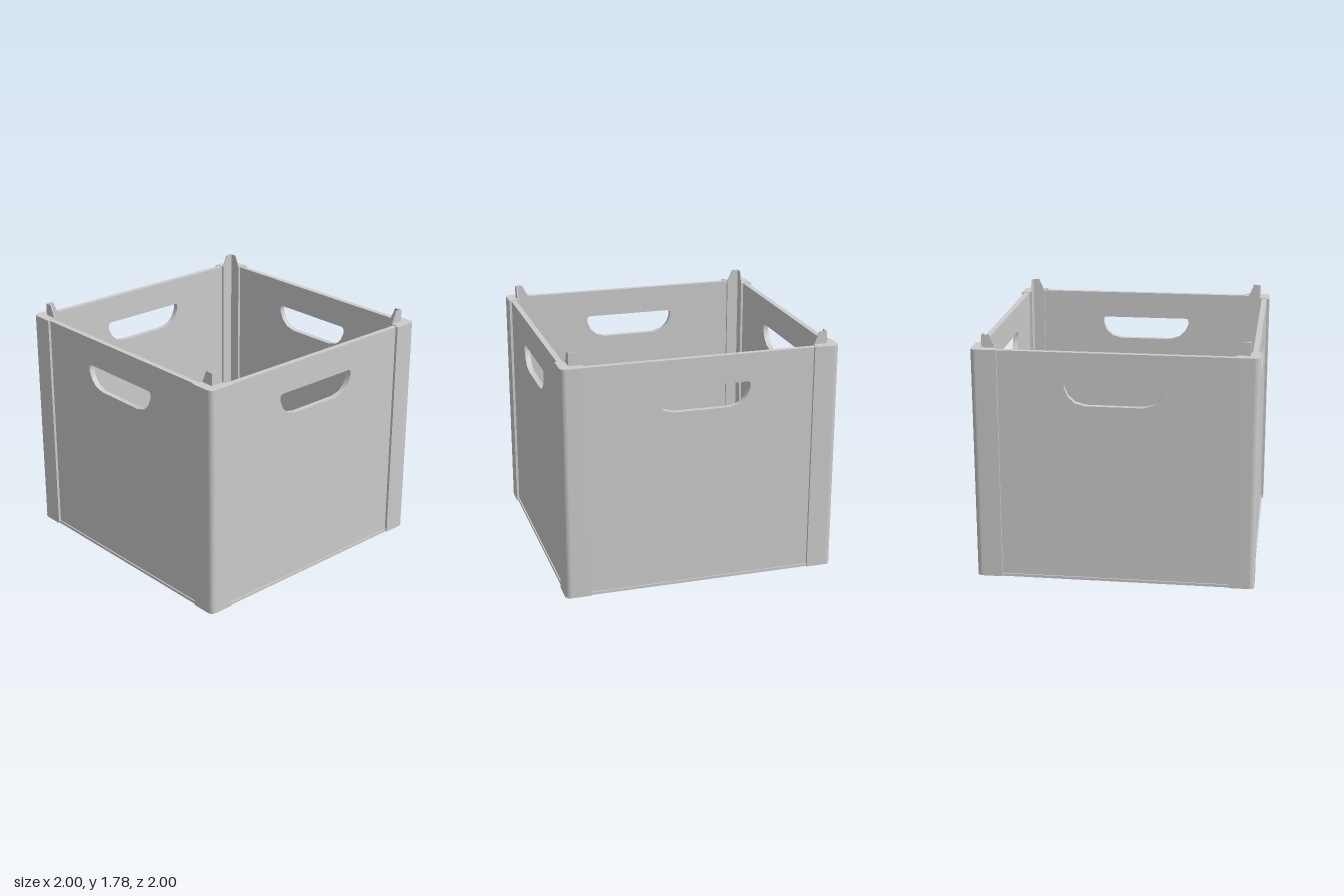
import * as THREE from 'three';
import { toCreasedNormals } from 'three/addons/utils/BufferGeometryUtils.js';

const material = new THREE.MeshStandardMaterial({ color: 0xcccccc });

function polygon(points) {
  return new THREE.Shape(points.map(([x, y]) => new THREE.Vector2(x, y)));
}

function part(name, geometry) {
  const mesh = new THREE.Mesh(geometry, material);
  mesh.name = name;
  return mesh;
}

// Side panel with a hand hole, standing in the front (+z) position
function sidePanel() {
  const shape = polygon([[-0.93, 0.01], [0.93, 0.01], [0.93, 1.685], [-0.93, 1.685]]);
  const half = [[0.2, 1.305], [0.275, 1.325], [0.322, 1.37], [0.348, 1.43], [0.348, 1.46], [0.343, 1.473], [0.33, 1.48]];
  const mirrored = half.map(([x, y]) => [-x, y]).reverse();
  shape.holes.push(polygon([...half, ...mirrored]));
  const geometry = new THREE.ExtrudeGeometry(shape, { depth: 0.04, bevelEnabled: false });
  geometry.translate(0, 0, 0.941);
  return part('sidePanel', toCreasedNormals(geometry, 0.6));
}

// Corner post: an L section with a rounded outer edge and outer lips over the panels
function cornerPost() {
  const r = 0.04;
  const shape = new THREE.Shape();
  shape.moveTo(0.93, 0.93);
  for (const [x, y] of [[0.93, 0.835], [0.98, 0.835], [0.98, 0.815], [1, 0.815], [1, 1 - r]]) shape.lineTo(x, y);
  shape.absarc(1 - r, 1 - r, r, 0, Math.PI / 2, false);
  for (const [x, y] of [[0.815, 1], [0.815, 0.98], [0.835, 0.98], [0.835, 0.93]]) shape.lineTo(x, y);
  shape.closePath();
  const geometry = new THREE.ExtrudeGeometry(shape, { depth: 1.69, bevelEnabled: false, curveSegments: 8 });
  // Plan (x, y) becomes (x, -z): the post lands in the back corner at +x
  geometry.rotateX(-Math.PI / 2);
  return part('cornerPost', toCreasedNormals(geometry, 0.6));
}

// Thin inner angle, whose top rises above the post as a tapered stacking tab
function stackingTab() {
  const group = new THREE.Group();
  group.name = 'stackingTab';
  const shape = polygon([[0.835, 0.01], [0.93, 0.01], [0.93, 1.78], [0.875, 1.78], [0.835, 1.69]]);
  const geometry = new THREE.ExtrudeGeometry(shape, { depth: 0.008, bevelEnabled: false });
  const alongX = part('tabLeaf', geometry.clone().translate(0, 0, -0.93));
  // Quarter turn, then shift, so the second leaf runs along z
  const alongZ = part('tabLeaf', geometry.clone().rotateY(Math.PI / 2).translate(0.922, 0, 0));
  group.add(alongX, alongZ);
  return group;
}

export function createModel() {
  const model = new THREE.Group();
  model.name = 'crate';

  const floor = part('floor', new THREE.BoxGeometry(1.98, 0.02, 1.98));
  floor.position.y = 0.01;
  model.add(floor);

  // Four identical sides, each with its corner
  for (let i = 0; i < 4; i++) {
    const side = new THREE.Group();
    side.name = 'side' + (i + 1);
    side.add(sidePanel(), cornerPost(), stackingTab());
    side.rotation.y = i * Math.PI / 2;
    model.add(side);
  }
  return model;
}
